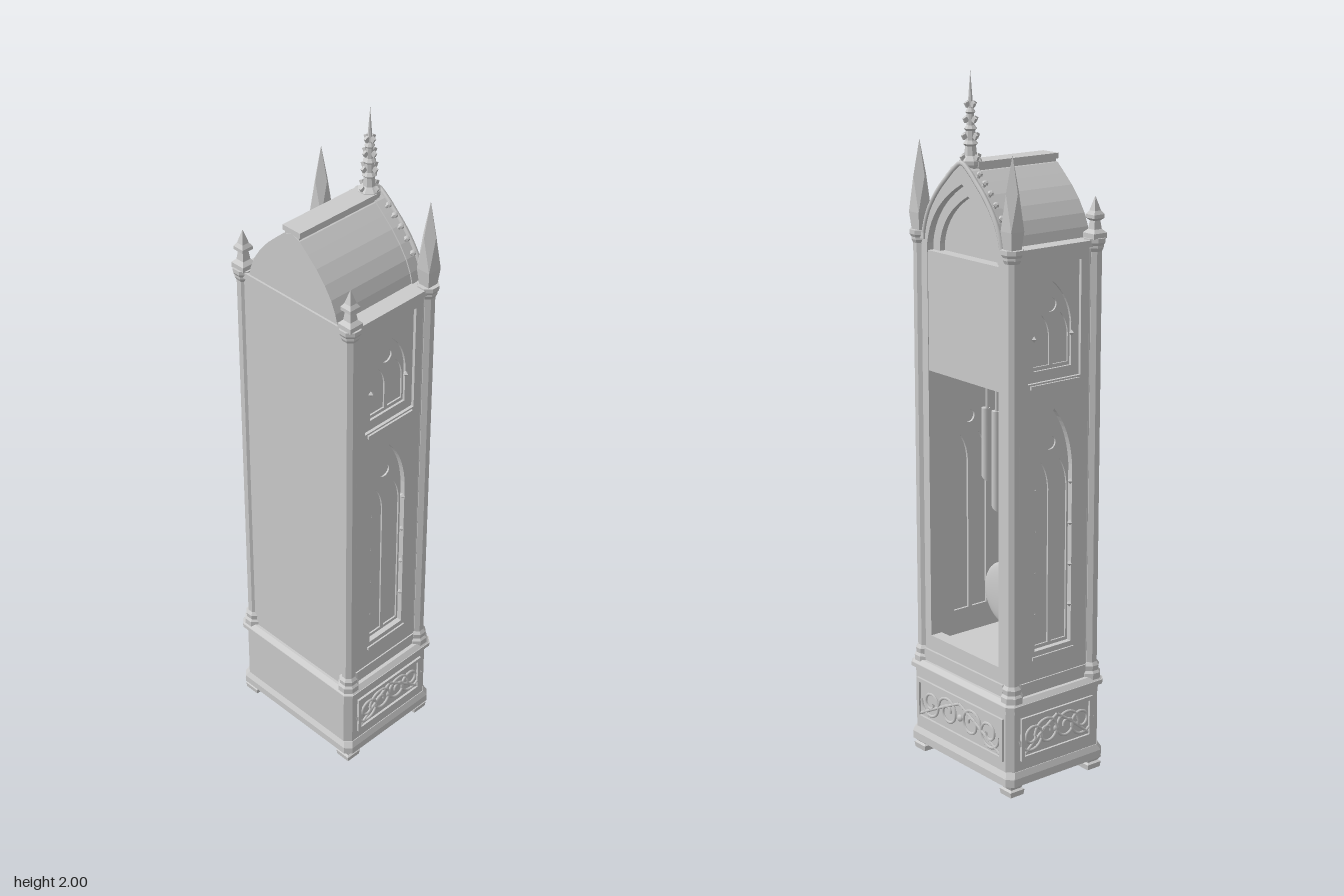
import * as THREE from 'three';
import { ConvexGeometry } from 'three/addons/geometries/ConvexGeometry.js';

const smooth = new THREE.MeshStandardMaterial({ color: 0xcccccc, side: THREE.DoubleSide });
const flat = new THREE.MeshStandardMaterial({ color: 0xcccccc, flatShading: true, side: THREE.DoubleSide });

function add(parent, name, geometry, x = 0, y = 0, z = 0, material = flat) {
  const mesh = new THREE.Mesh(geometry, material);
  mesh.name = name;
  mesh.position.set(x, y, z);
  parent.add(mesh);
  return mesh;
}

// box given by its limits
function box(parent, name, x0, x1, y0, y1, z0, z1) {
  return add(parent, name, new THREE.BoxGeometry(x1 - x0, y1 - y0, z1 - z0),
    (x0 + x1) / 2, (y0 + y1) / 2, (z0 + z1) / 2);
}

const extrude = (shape, depth) => new THREE.ExtrudeGeometry(shape, { depth, bevelEnabled: false, curveSegments: 10 });

function rect(w, y0, y1) {
  return new THREE.Shape([[-w, y0], [w, y0], [w, y1], [-w, y1]].map(p => new THREE.Vector2(...p)));
}

// pointed arch: half width, sill, springing and apex heights
function arch(w, y0, ys, yt, cx = 0) {
  const s = new THREE.Shape();
  const yc = ys + (yt - ys) * 0.62;
  s.moveTo(cx - w, y0);
  s.lineTo(cx + w, y0);
  s.lineTo(cx + w, ys);
  s.quadraticCurveTo(cx + w * 0.88, yc, cx, yt);
  s.quadraticCurveTo(cx - w * 0.88, yc, cx - w, ys);
  s.closePath();
  return s;
}

function plate(outer, holes, depth) {
  outer.holes.push(...holes);
  return extrude(outer, depth);
}

// horizontal slab with chamfered corners; the top may be inset
function slab(parent, name, hx, hz, y0, y1, inset = 0, c = 0.018) {
  const pts = [];
  for (const [y, i] of [[y0, 0], [y1, inset]])
    for (const sx of [-1, 1]) for (const sz of [-1, 1]) {
      pts.push(new THREE.Vector3(sx * (hx - i - c), y, sz * (hz - i)));
      pts.push(new THREE.Vector3(sx * (hx - i), y, sz * (hz - i - c)));
    }
  return add(parent, name, new ConvexGeometry(pts));
}

function lathe(profile, sides) {
  const k = sides === 4 ? Math.SQRT2 : 1;
  return new THREE.LatheGeometry(profile.map(([r, y]) => new THREE.Vector2(r * k, y)), sides, Math.PI / sides);
}

// scrollwork panel facing +z, standing on the local plane z = 0
function scrollPanel(w, y0, y1) {
  const g = new THREE.Group();
  g.name = 'scrollPanel';
  add(g, 'panelFrame', plate(rect(w, y0, y1), [rect(w - 0.012, y0 + 0.012, y1 - 0.012)], 0.007));
  const cy = (y0 + y1) / 2, r = (y1 - y0) * 0.36;
  for (const s of [-1, 1]) {
    for (const [cx, dir, k] of [[0.27, 1, 1], [0.68, -1, 1]]) {
      const pts = [];
      for (let i = 0; i <= 16; i++) {
        const a = i / 16 * Math.PI * 3, q = r * k * (1 - 0.75 * i / 16);
        pts.push(new THREE.Vector3(s * (cx * w + Math.cos(a) * q), cy + dir * Math.sin(a) * q, 0.002));
      }
      add(g, 'scroll', new THREE.TubeGeometry(new THREE.CatmullRomCurve3(pts), 40, 0.0045, 5), 0, 0, 0, smooth);
    }
    const stem = new THREE.QuadraticBezierCurve3(new THREE.Vector3(0, y1 - 0.02, 0.002),
      new THREE.Vector3(s * w * 0.5, cy, 0.002), new THREE.Vector3(s * (w - 0.015), y0 + 0.018, 0.002));
    add(g, 'stem', new THREE.TubeGeometry(stem, 12, 0.0045, 5), 0, 0, 0, smooth);
  }
  add(g, 'rosette', new THREE.SphereGeometry(0.011, 8, 6), 0, cy, 0, smooth).scale.z = 0.6;
  return g;
}

// side wall facing +z, layered so the window tracery is sunk
function sideWall() {
  const g = new THREE.Group();
  g.name = 'sideWall';
  const lower = () => arch(0.066, 0.41, 0.93, 1.1), upper = () => arch(0.066, 1.21, 1.33, 1.45);
  const lights = [];
  for (const s of [-1, 1]) lights.push(arch(0.027, 0.42, 0.87, 0.95, s * 0.033), arch(0.027, 1.22, 1.3, 1.36, s * 0.033));
  for (const y of [1.0, 1.385]) {
    const eye = new THREE.Shape();
    eye.absarc(0, y, 0.019, 0, Math.PI * 2);
    lights.push(eye);
  }
  const wall = () => rect(0.145, 0.3, 1.54);
  box(g, 'wallCore', -0.145, 0.145, 0.3, 1.54, 0.174, 0.185);
  add(g, 'tracery', plate(wall(), lights, 0.005), 0, 0, 0.185);
  add(g, 'archLayer', plate(wall(), [lower(), upper()], 0.007), 0, 0, 0.19);
  add(g, 'outerLayer', plate(wall(), [lower(), rect(0.093, 1.18, 1.5)], 0.009), 0, 0, 0.197);
  add(g, 'innerTracery', plate(rect(0.14, 0.34, 1.16), lights.filter((h, i) => [0, 2, 4].includes(i)), 0.007), 0, 0, 0.167);
  box(g, 'upperSill', -0.085, 0.085, 1.165, 1.175, 0.203, 0.212);
  box(g, 'lowerSill', -0.075, 0.075, 0.385, 0.395, 0.203, 0.211);
  // small leaves along the window jambs
  for (const s of [-1, 1]) for (const y of [0.52, 0.64, 0.76, 0.88, 1.3])
    add(g, 'leaf', new THREE.OctahedronGeometry(0.009), s * 0.066, y, 0.199);
  return g;
}

export function createModel() {
  const root = new THREE.Group();
  root.name = 'longcaseClock';
  const corners = [];
  for (const x of [-0.145, 0.142]) for (const z of [-0.2, 0.2]) corners.push([x, z]);

  // plinth
  const base = new THREE.Group();
  base.name = 'base';
  root.add(base);
  slab(base, 'bottomMoulding', 0.178, 0.234, 0.035, 0.058);
  slab(base, 'bottomSlope', 0.178, 0.234, 0.058, 0.075, 0.008);
  slab(base, 'baseBlock', 0.17, 0.224, 0.07, 0.255);
  slab(base, 'topCove', 0.171, 0.226, 0.25, 0.264);
  slab(base, 'topMoulding', 0.18, 0.235, 0.264, 0.276);
  slab(base, 'topSlope', 0.178, 0.233, 0.276, 0.288, 0.012);
  for (const [w, d, a] of [[0.132, 0.224, 0], [0.132, 0.224, Math.PI], [0.198, 0.17, Math.PI / 2]]) {
    const p = scrollPanel(w, 0.105, 0.233);
    p.position.set(Math.sin(a) * d, 0, Math.cos(a) * d);
    p.rotation.y = a;
    base.add(p);
  }

  // feet, corner columns and their mouldings
  for (const [x, z] of corners) {
    add(root, 'foot', lathe([[0, 0], [0.023, 0], [0.025, 0.016], [0.018, 0.02], [0.026, 0.036], [0, 0.036]], 4), x, 0, z);
    add(root, 'column', lathe([[0.032, 0.28], [0.032, 0.298], [0.026, 0.305], [0.028, 0.32], [0.021, 0.33],
      [0.021, 1.515], [0.026, 1.525], [0.026, 1.532], [0.031, 1.54], [0.031, 1.552], [0, 1.552]], 8), x, 0, z);
    for (const [dx, dz] of [[1, 0], [0, 1]])
      add(root, 'columnShaft', new THREE.CylinderGeometry(0.007, 0.007, 1.2, 8),
        x - Math.sign(x) * dx * 0.021, 0.925, z - Math.sign(z) * dz * 0.021, smooth);
  }

  // case
  for (const a of [0, Math.PI]) {
    const wall = sideWall();
    wall.rotation.y = a;
    root.add(wall);
  }
  box(root, 'backPanel', -0.158, -0.145, 0.28, 1.54, -0.2, 0.2);
  box(root, 'caseFloor', -0.15, 0.15, 0.28, 0.345, -0.195, 0.195);
  box(root, 'dialBlock', -0.145, 0.151, 1.16, 1.5, -0.172, 0.172);
  for (const s of [-1, 1]) {
    box(root, 'sideCornice', -0.155, 0.158, 1.53, 1.548, s * 0.19 - 0.025, s * 0.19 + 0.025);
    box(root, 'sideSkirting', -0.13, 0.13, 0.28, 0.325, s * 0.2 - 0.01, s * 0.2 + 0.01);
  }
  box(root, 'backCornice', -0.163, -0.13, 1.53, 1.548, -0.2, 0.2);

  // roof and front, drawn across z and extruded along x
  const slope = [[0.166, 1.545], [0.158, 1.575], [0.143, 1.61], [0.12, 1.645], [0.09, 1.68], [0.06, 1.708], [0.03, 1.735]];
  const roofOutline = (grow, apex) => slope.map(([z, y]) => [z + grow, y + grow]).concat([[0, apex]],
    slope.map(([z, y]) => [-z - grow, y + grow]).reverse());
  const toShape = pts => new THREE.Shape(pts.map(p => new THREE.Vector2(...p)));
  const alongX = (name, geometry, x0) => { add(root, name, geometry, x0).rotation.y = Math.PI / 2; };
  alongX('roof', extrude(toShape([[0.166, 1.495], ...roofOutline(0, 1.745), [-0.166, 1.495]]), 0.272), -0.157);
  box(root, 'ridgeCap', -0.158, 0.12, 1.745, 1.76, -0.032, 0.032);
  box(root, 'ridgeNeck', -0.155, 0.12, 1.725, 1.748, -0.026, 0.026);
  alongX('frontFrame', plate(toShape([[0.182, 0.29], [0.182, 1.545], ...roofOutline(0.003, 1.757), [-0.182, 1.545], [-0.182, 0.29]]),
    [arch(0.155, 0.37, 1.52, 1.7)], 0.038), 0.115);
  alongX('innerArch', plate(arch(0.157, 1.495, 1.52, 1.702), [arch(0.125, 1.5, 1.52, 1.665)], 0.018), 0.114);
  const rail = roofOutline(0.003, 1.757).map(([z, y]) => new THREE.Vector3(0.153, y, z));
  add(root, 'gableMoulding', new THREE.TubeGeometry(new THREE.CatmullRomCurve3(rail), 48, 0.007, 6), 0, 0, 0, smooth);
  box(root, 'frontSkirting', 0.15, 0.16, 0.29, 0.325, -0.18, 0.18);

  // crockets up the gable
  for (const s of [-1, 1]) for (const [z, y] of [[0.145, 1.622], [0.122, 1.655], [0.1, 1.683], [0.077, 1.707], [0.054, 1.728]]) {
    const c = add(root, 'crocket', lathe([[0, -0.012], [0.005, -0.01], [0.005, 0], [0.009, 0.005], [0.006, 0.012], [0, 0.013]], 6), 0.136, y, s * z);
    c.rotation.x = s * 0.7;
  }

  // front pinnacles with steep gablets, back finials
  for (const [x, z] of corners) {
    if (x > 0) {
      const pts = [new THREE.Vector3(0, 1.8, 0)];
      for (const a of [-1, 1]) {
        pts.push(new THREE.Vector3(a * 0.022, 1.7, 0), new THREE.Vector3(0, 1.7, a * 0.022));
        for (const b of [-1, 1])
          pts.push(new THREE.Vector3(a * 0.022, 1.6, b * 0.022), new THREE.Vector3(a * 0.017, 1.55, b * 0.017));
      }
      add(root, 'pinnacle', new ConvexGeometry(pts), x, 0, z);
    } else {
      add(root, 'backFinial', lathe([[0.023, 1.55], [0.023, 1.565], [0.013, 1.575], [0.01, 1.598], [0.018, 1.605], [0.018, 1.615],
        [0.011, 1.625], [0.007, 1.64], [0, 1.665]], 4), x, 0, z);
    }
  }

  // central finial with rings of leaves
  add(root, 'centreFinial', lathe([[0, 1.72], [0.022, 1.725], [0.032, 1.752], [0.032, 1.762], [0.018, 1.775], [0.015, 1.8],
    [0.021, 1.806], [0.014, 1.815], [0.013, 1.84], [0.018, 1.846], [0.011, 1.855], [0.01, 1.885], [0.014, 1.89],
    [0.008, 1.9], [0, 2]], 8), 0.122, 0, 0);
  for (const [y, r] of [[1.77, 0.026], [1.826, 0.021], [1.87, 0.016], [1.91, 0.011]])
    for (let i = 0; i < 4; i++) {
      const a = i * Math.PI / 2;
      const leaf = add(root, 'finialLeaf', new THREE.BoxGeometry(0.012, 0.014, 0.007), 0.122 + Math.cos(a) * r, y, Math.sin(a) * r);
      leaf.rotation.set(0, -a, -0.5, 'YXZ');
    }

  // chime tubes, cut obliquely at the bottom, and their wires
  for (const [z, bottom, cut] of [[0, 0.7, 0], [0.046, 0.755, 0.8], [-0.046, 0.755, 0.8], [0.092, 0.835, 0.8], [-0.092, 0.835, 0.8]]) {
    const g = new THREE.CylinderGeometry(0.0125, 0.0125, 1.04 - bottom, 16), p = g.attributes.position;
    for (let i = 0; i < p.count; i++)
      if (p.getY(i) < 0) p.setY(i, p.getY(i) + cut * Math.sign(z) * p.getZ(i));
    add(root, 'chimeTube', g, 0, (1.04 + bottom) / 2, z, smooth);
    add(root, 'chimeWire', new THREE.CylinderGeometry(0.005, 0.005, 0.13, 8), 0, 1.1, z * 0.93, smooth);
  }

  // pendulum
  add(root, 'pendulumRod', new THREE.CylinderGeometry(0.004, 0.004, 0.3, 8), 0, 0.6, 0, smooth);
  const bob = add(root, 'pendulumBob', new THREE.SphereGeometry(0.095, 32, 20), 0, 0.505, 0, smooth);
  bob.scale.x = 0.16;
  return root;
}
